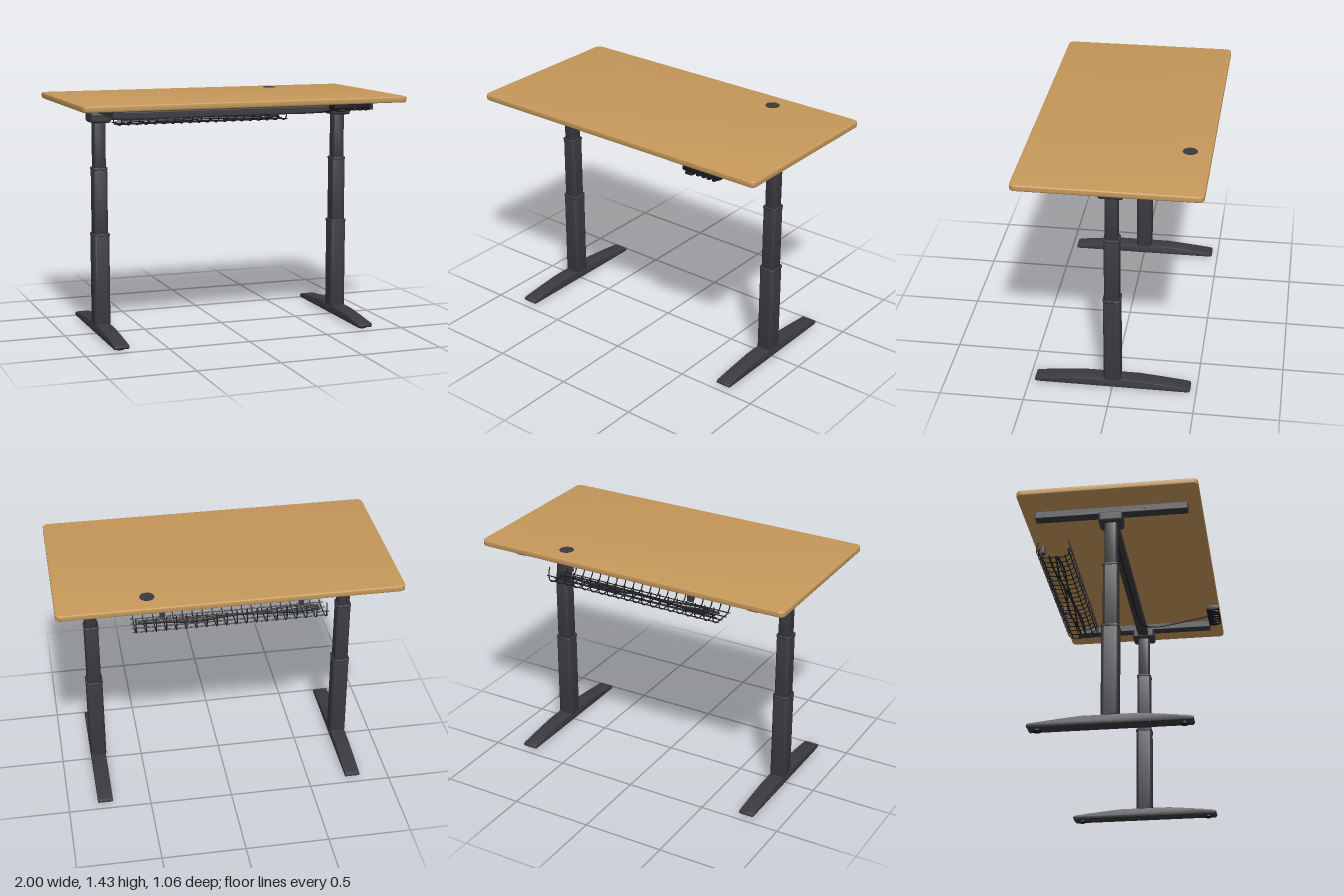
import * as THREE from 'three';
import { toCreasedNormals } from 'three/addons/utils/BufferGeometryUtils.js';
import { RoundedBoxGeometry } from 'three/addons/geometries/RoundedBoxGeometry.js';

const material = (name, color) => {
  const m = new THREE.MeshStandardMaterial({ color });
  m.name = name;
  return m;
};
const wood = material('wood', 0xc6985a);
const metal = material('dark metal', 0x3a393f);
const black = material('black', 0x1b1b1e);

const V = (x, y, z) => new THREE.Vector3(x, y, z);

function add(parent, name, geometry, mat, x = 0, y = 0, z = 0) {
  const mesh = new THREE.Mesh(geometry, mat);
  mesh.name = name;
  mesh.position.set(x, y, z);
  parent.add(mesh);
  return mesh;
}

// Upright slab with rounded corners in plan; its base sits at y = 0
function roundedSlab(w, d, h, r, bevel) {
  const a = w / 2 - bevel, b = d / 2 - bevel;
  const s = new THREE.Shape();
  s.moveTo(-a + r, -b);
  s.lineTo(a - r, -b).absarc(a - r, -b + r, r, -Math.PI / 2, 0);
  s.lineTo(a, b - r).absarc(a - r, b - r, r, 0, Math.PI / 2);
  s.lineTo(-a + r, b).absarc(-a + r, b - r, r, Math.PI / 2, Math.PI);
  s.lineTo(-a, -b + r).absarc(-a + r, -b + r, r, Math.PI, Math.PI * 1.5);
  const g = new THREE.ExtrudeGeometry(s, {
    depth: h - 2 * bevel, bevelEnabled: bevel > 0, bevelSize: bevel,
    bevelThickness: bevel, bevelSegments: 3, curveSegments: 6,
  });
  g.rotateX(-Math.PI / 2).translate(0, bevel, 0);
  return toCreasedNormals(g, 0.6);
}

// Side profile given as [z, y] points, extruded across x and centred
function sideProfile(points, width, bevel) {
  const s = new THREE.Shape(points.map(([z, y]) => new THREE.Vector2(z, y)));
  const depth = width - 2 * bevel;
  const g = new THREE.ExtrudeGeometry(s, {
    depth, bevelEnabled: bevel > 0, bevelSize: bevel, bevelOffset: -bevel,
    bevelThickness: bevel, bevelSegments: 2,
  });
  g.translate(0, 0, -depth / 2).rotateY(-Math.PI / 2);
  return toCreasedNormals(g, 0.5);
}

const tube = (points, r, segments, sides = 6) =>
  new THREE.TubeGeometry(new THREE.CatmullRomCurve3(points), segments, r, sides);

function makeLeg(side) {
  const leg = new THREE.Group();
  leg.name = side > 0 ? 'leftLeg' : 'rightLeg';
  leg.position.x = side * 0.775;

  // Tapered foot with levelling pads
  const half = [[0.16, 0.065], [0.3, 0.052], [0.45, 0.036], [0.463, 0.03], [0.465, 0.02], [0.455, 0.01]];
  const outline = [...half, ...half.map(([z, y]) => [-z, y]).reverse()];
  add(leg, 'foot', sideProfile(outline, 0.092, 0.006), metal);
  for (const z of [-0.41, 0.41])
    add(leg, 'levellingPad', new THREE.CylinderGeometry(0.025, 0.025, 0.012, 16), black, 0, 0.006, z);

  // Three telescoping column stages
  add(leg, 'lowerColumn', roundedSlab(0.1, 0.1, 0.547, 0.018, 0.001), metal, 0, 0.063);
  add(leg, 'middleColumn', roundedSlab(0.086, 0.088, 0.41, 0.015, 0.001), metal, 0, 0.6);
  add(leg, 'upperColumn', roundedSlab(0.072, 0.074, 0.3, 0.012, 0.001), metal, 0, 1.0);
  add(leg, 'lowerCollar', roundedSlab(0.106, 0.106, 0.014, 0.02, 0.002), metal, 0, 0.603);
  add(leg, 'upperCollar', roundedSlab(0.092, 0.094, 0.014, 0.017, 0.002), metal, 0, 1.002);

  // Motor housing and the rail under the top
  add(leg, 'motorHousing', new RoundedBoxGeometry(0.123, 0.065, 0.144, 4, 0.016), metal, 0, 1.318);
  add(leg, 'topRail', new RoundedBoxGeometry(0.065, 0.046, 0.906, 2, 0.005), metal, 0, 1.373);
  for (const z of [-0.4, -0.2, 0.2, 0.4]) {
    const screw = add(leg, 'railScrew', new THREE.CylinderGeometry(0.006, 0.006, 0.004, 10), black, side * 0.033, 1.373, z);
    screw.rotation.z = Math.PI / 2;
  }
  return leg;
}

function makeCableTray() {
  const tray = new THREE.Group();
  tray.name = 'cableTray';
  const loop = [[-0.295, 1.335], [-0.284, 1.285], [-0.29, 1.25], [-0.315, 1.229], [-0.385, 1.225],
    [-0.455, 1.229], [-0.482, 1.25], [-0.491, 1.285], [-0.48, 1.335]];

  // Cross wires bent into a U
  const count = 20;
  const wire = tube(loop.map(([z, y]) => V(0, y, z)), 0.0035, 32, 5);
  for (let i = 0; i < count; i++)
    add(tray, 'crossWire', wire, black, -0.55 + (1.1 * i) / (count - 1));

  // Lengthwise wires
  const rod = new THREE.CylinderGeometry(0.0035, 0.0035, 1.135, 5).rotateZ(Math.PI / 2);
  for (const [z, y] of [[-0.297, 1.276], [-0.481, 1.276], [-0.315, 1.233], [-0.362, 1.229], [-0.408, 1.229], [-0.455, 1.233]])
    add(tray, 'longWire', rod, black, 0, y, z);

  // Loose cables lying in the tray
  for (let k = 0; k < 3; k++) {
    const path = [];
    for (let i = 0; i <= 8; i++)
      path.push(V(-0.53 + i * 0.1325, 1.243 + 0.005 * k + 0.004 * Math.sin(i * 1.7 + k),
        -0.365 - 0.022 * k + 0.012 * Math.sin(i * 1.2 + k * 2)));
    add(tray, 'trayCable', tube(path, 0.006, 48), black);
  }

  // Hangers up to the top
  for (const x of [-0.4, 0.4])
    add(tray, 'trayHanger', new RoundedBoxGeometry(0.03, 0.058, 0.024, 2, 0.004), metal, x, 1.367, -0.48);
  return tray;
}

function makeControlPanel() {
  const panel = new THREE.Group();
  panel.name = 'controlPanel';
  panel.position.x = 0.637;
  const outline = [[0.45, 1.395], [0.45, 1.363], [0.49, 1.359], [0.524, 1.367], [0.53, 1.373], [0.53, 1.395]];
  add(panel, 'panelBody', sideProfile(outline, 0.235, 0.002), black);
  // Row of buttons along the lower front edge
  for (let i = 0; i < 6; i++)
    add(panel, 'button', new RoundedBoxGeometry(0.022, 0.014, 0.04, 2, 0.004), black, -0.09 + i * 0.036, 1.362, 0.505);
  add(panel, 'paddle', new RoundedBoxGeometry(0.05, 0.012, 0.03, 2, 0.004), black, -0.075, 1.357, 0.518);
  return panel;
}

export function createModel() {
  const desk = new THREE.Group();
  desk.name = 'standingDesk';

  // Top with a round cable grommet
  add(desk, 'deskTop', roundedSlab(2, 1.062, 0.036, 0.025, 0.007), wood, 0, 1.395);
  add(desk, 'grommet', new THREE.CylinderGeometry(0.043, 0.043, 0.006, 20), metal, 0.475, 1.43, -0.405);

  // Frame
  for (const side of [-1, 1]) desk.add(makeLeg(side));
  add(desk, 'crossBeam', new RoundedBoxGeometry(1.46, 0.042, 0.07, 2, 0.005), metal, 0, 1.321);

  desk.add(makeCableTray(), makeControlPanel());

  // Cable from the control panel to the beam, then along its underside
  add(desk, 'panelCable', tube([V(0.62, 1.368, 0.46), V(0.625, 1.358, 0.4), V(0.632, 1.335, 0.25),
    V(0.625, 1.312, 0.12), V(0.6, 1.303, 0.05), V(0.55, 1.298, 0.015), V(0.4, 1.298, 0),
    V(0, 1.298, 0), V(-0.66, 1.298, 0), V(-0.74, 1.305, 0)], 0.005, 80), black);
  return desk;
}
